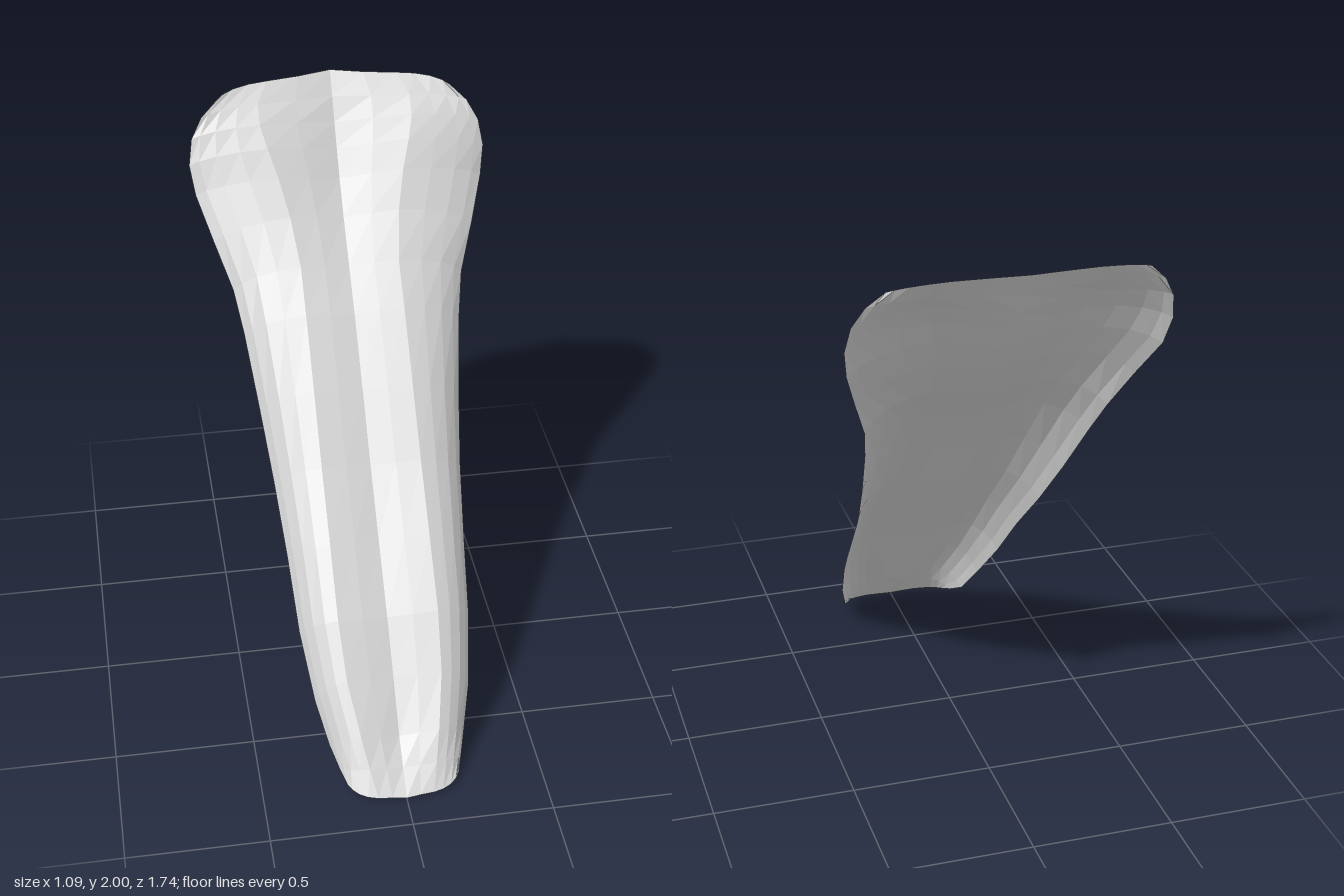
import * as THREE from 'three';

// Cross-sections from the low end to the high end:
// [edge x, edge y, edge z, crest x, crest y, crest z, groove y, groove z]
const sections = [
  [0.20, 0.03, 0.80, 0.10, 0.01, 0.865, 0.003, 0.872],
  [0.22, 0.055, 0.74, 0.12, 0.09, 0.80, 0.075, 0.795],
  [0.245, 0.10, 0.66, 0.14, 0.18, 0.73, 0.15, 0.71],
  [0.28, 0.22, 0.555, 0.17, 0.335, 0.60, 0.31, 0.58],
  [0.31, 0.40, 0.385, 0.18, 0.50, 0.465, 0.477, 0.444],
  [0.325, 0.60, 0.20, 0.18, 0.70, 0.28, 0.677, 0.254],
  [0.345, 0.80, 0.0, 0.18, 0.90, 0.09, 0.88, 0.068],
  [0.37, 1.0, -0.175, 0.18, 1.11, -0.09, 1.09, -0.11],
  [0.40, 1.22, -0.35, 0.18, 1.32, -0.275, 1.30, -0.295],
  [0.425, 1.35, -0.45, 0.18, 1.45, -0.40, 1.425, -0.42],
  [0.48, 1.50, -0.55, 0.20, 1.59, -0.52, 1.56, -0.55],
  [0.53, 1.64, -0.655, 0.23, 1.71, -0.605, 1.67, -0.645],
  [0.545, 1.74, -0.695, 0.26, 1.80, -0.665, 1.76, -0.71],
  [0.53, 1.83, -0.725, 0.28, 1.87, -0.72, 1.84, -0.765],
  [0.49, 1.90, -0.75, 0.28, 1.925, -0.775, 1.92, -0.815],
  [0.43, 1.955, -0.775, 0.24, 1.99, -0.832, 2.0, -0.872],
];

// Half of a section, from the groove over the crest and down to the edge
function halfSection([ex, ey, ez, cx, cy, cz, gy, gz]) {
  const groove = new THREE.Vector3(0, gy, gz);
  const crest = new THREE.Vector3(cx, cy, cz);
  const edge = new THREE.Vector3(ex, ey, ez);
  // Each step: how far across, and how far the height has changed
  const rise = [[0, 0], [0.5, 0.6], [1, 1]];
  const fall = [[0.35, 0.13], [0.65, 0.36], [0.87, 0.68], [1, 1]];
  const step = (from, to, [across, height]) => {
    const p = from.clone().lerp(to, height);
    p.x = THREE.MathUtils.lerp(from.x, to.x, across);
    return p.toArray();
  };
  return [
    ...rise.map((s) => step(groove, crest, s)),
    ...fall.map((s) => step(crest, edge, s)),
  ];
}

// Mirror every section and join neighbouring sections into a thin sheet
function sheetGeometry() {
  const rows = sections.map((section) => {
    const half = halfSection(section);
    const mirrored = half.slice(1).reverse().map(([x, y, z]) => [-x, y, z]);
    return [...mirrored, ...half];
  });
  const columns = rows[0].length;
  const indices = [];
  for (let r = 0; r < rows.length - 1; r++) {
    for (let c = 0; c < columns - 1; c++) {
      const a = r * columns + c;
      const b = a + columns;
      indices.push(a, a + 1, b + 1, a, b + 1, b);
    }
  }
  const geometry = new THREE.BufferGeometry();
  geometry.setAttribute('position', new THREE.Float32BufferAttribute(rows.flat(2), 3));
  geometry.setIndex(indices);
  geometry.computeVertexNormals();
  return geometry;
}

export function createModel() {
  const group = new THREE.Group();
  group.name = 'curvedPanel';
  const material = new THREE.MeshStandardMaterial({
    name: 'light grey',
    color: 0xd2d2d2,
    flatShading: true,
    side: THREE.DoubleSide,
  });
  // Sloping, arched panel with a shallow groove and a flared upper end
  const panel = new THREE.Mesh(sheetGeometry(), material);
  panel.name = 'archedPanel';
  group.add(panel);
  return group;
}
